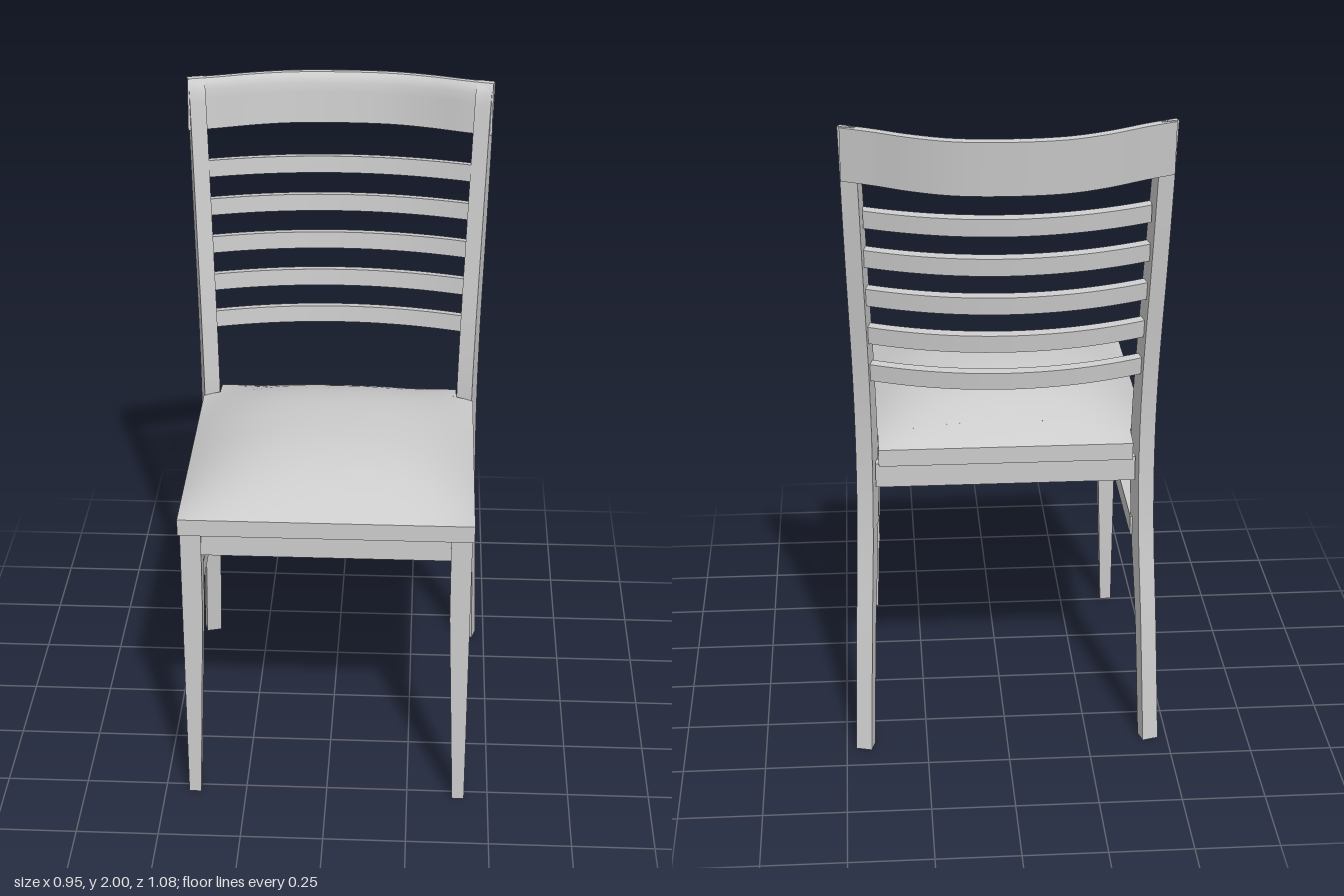
import * as THREE from 'three';
import { toCreasedNormals } from 'three/addons/utils/BufferGeometryUtils.js';

const material = new THREE.MeshStandardMaterial({ color: 0xcccccc });
const V = (x, y, z) => new THREE.Vector3(x, y, z);

// Solid skinned over a row of equal-length rings, capped at both ends, always facing outward
function loft(rings, crease = 0.6) {
  const n = rings[0].length;
  const tris = [];
  for (let i = 0; i < rings.length - 1; i++) {
    for (let j = 0; j < n; j++) {
      const k = (j + 1) % n;
      const [a, b, c, d] = [rings[i][j], rings[i][k], rings[i + 1][k], rings[i + 1][j]];
      tris.push([a, b, c], [a, c, d]);
    }
  }
  const first = rings[0], last = rings[rings.length - 1];
  for (let j = 1; j < n - 1; j++) {
    tris.push([first[0], first[j + 1], first[j]], [last[0], last[j], last[j + 1]]);
  }
  const volume = tris.reduce((v, [a, b, c]) => v + a.dot(V(0, 0, 0).crossVectors(b, c)), 0);
  if (volume < 0) tris.forEach((t) => t.reverse());
  const geometry = new THREE.BufferGeometry().setFromPoints(tris.flat());
  geometry.computeVertexNormals();
  return toCreasedNormals(geometry, crease);
}

export function createModel() {
  const group = new THREE.Group();
  const add = (name, geometry) => {
    const mesh = new THREE.Mesh(geometry, material);
    mesh.name = name;
    group.add(mesh);
    return mesh;
  };
  // Box given by its limits on each axis
  const bar = (name, x0, x1, y0, y1, z0, z1) => {
    add(name, new THREE.BoxGeometry(Math.abs(x1 - x0), y1 - y0, z1 - z0))
      .position.set((x0 + x1) / 2, (y0 + y1) / 2, (z0 + z1) / 2);
  };

  // Rear leg profile: height, front edge z, back edge z
  const profile = new THREE.CatmullRomCurve3([
    V(0, -0.363, -0.418), V(0.4, -0.317, -0.375), V(0.7, -0.265, -0.338),
    V(0.95, -0.247, -0.327), V(1.2, -0.264, -0.337), V(1.6, -0.315, -0.382),
    V(1.93, -0.36, -0.415),
  ]).getPoints(36);
  profile.push(V(1.97, -0.367, -0.419), V(1.99, -0.38, -0.421), V(2, -0.4, -0.422));

  // Cushion: domed top, with the two back corners cut out around the legs
  const zBack = -0.33, zFront = 0.54, notch = -0.25, wide = 0.433, narrow = 0.38;
  const rows = [];
  for (let i = 0; i <= 4; i++) rows.push([zBack + (notch - zBack) * i / 4, narrow]);
  for (let i = 0; i <= 28; i++) {
    rows.push([notch + (zFront - notch) * Math.sin(i / 28 * Math.PI / 2), wide]);
  }
  const falloff = (t) => 1 - Math.min(1, Math.abs(t)) ** 2.6;
  const cushion = rows.map(([z, w]) => {
    const ring = [V(-w, 0.93, z), V(w, 0.93, z)];
    for (let j = 0; j <= 32; j++) {
      const x = w * Math.cos(j / 32 * Math.PI);
      ring.push(V(x, 0.983 + 0.117 * falloff(x / wide) * falloff((z - 0.105) / 0.435), z));
    }
    return ring;
  });
  add('seatCushion', loft(cushion));

  // Seat frame
  bar('frontRail', -0.37, 0.37, 0.86, 0.93, 0.495, 0.53);
  bar('backRail', -0.39, 0.39, 0.853, 0.93, -0.31, -0.275);

  for (const s of [1, -1]) {
    // Front leg, tapering on its inner and rear faces
    const square = (y, inner, rear) => [
      V(s * 0.427, y, 0.535), V(s * 0.427, y, rear), V(s * inner, y, rear), V(s * inner, y, 0.535),
    ];
    add('frontLeg', loft([square(0, 0.39, 0.502), square(0.66, 0.367, 0.476), square(0.93, 0.365, 0.474)]));

    // Rear leg and back post, turned outward in plan
    const post = profile.map(({ x: y, y: front, z: back }) => {
      const corner = (depth, inset) => V(
        s * (0.43 + 0.26 * depth - 0.966 * inset), y, -0.25 - 0.966 * depth - 0.26 * inset);
      const near = (-0.25 - front) / 0.966, far = (-0.263 - back) / 0.966;
      return [corner(near, 0), corner(far, 0), corner(far, 0.05), corner(near, 0.05)];
    });
    add('rearLeg', loft(post));

    bar('sideRail', s * 0.387, s * 0.424, 0.857, 0.93, -0.27, 0.48);
    bar('sideStretcher', s * 0.382, s * 0.412, 0.66, 0.72, -0.29, 0.48);
  }

  // Bent slats, leaning with the back
  for (let i = 0; i < 5; i++) {
    const y = 1.197 + 0.122 * i, z = -0.395 - 0.0145 * i;
    const rings = [];
    for (let j = 0; j <= 24; j++) {
      const x = 0.408 * (j / 12 - 1);
      const bow = 0.075 * (x / 0.4) ** 2;
      const p = (dz, dy) => V(x, y + dy + 0.1 * bow, z + dz + bow);
      rings.push([p(0, 0), p(0.03, 0.004), p(0.025, 0.057), p(-0.005, 0.053)]);
    }
    add('backSlat', loft(rings));
  }

  // Crest rail: its back edge in plan flares at both ends; the upper front edge is rounded
  const half = [V(0.467, 0, -0.415), V(0.385, 0, -0.446), V(0.27, 0, -0.497), V(0.155, 0, -0.531)];
  const plan = new THREE.CatmullRomCurve3([
    ...half.map((p) => V(-p.x, 0, p.z)), V(0, 0, -0.542), ...half.slice().reverse(),
  ]);
  const section = [[0.013, 0], [0.06, 0.005], [0.05, 0.1], [0.047, 0.13], [0.039, 0.149],
    [0.027, 0.159], [0.013, 0.16], [0, 0.157]];
  const crest = plan.getPoints(48).map(({ x, z }) =>
    section.map(([dz, dy]) => V(x, 1.828 + dy + 0.1 * (z + 0.542), z + dz)));
  add('crestRail', loft(crest));

  return group;
}
